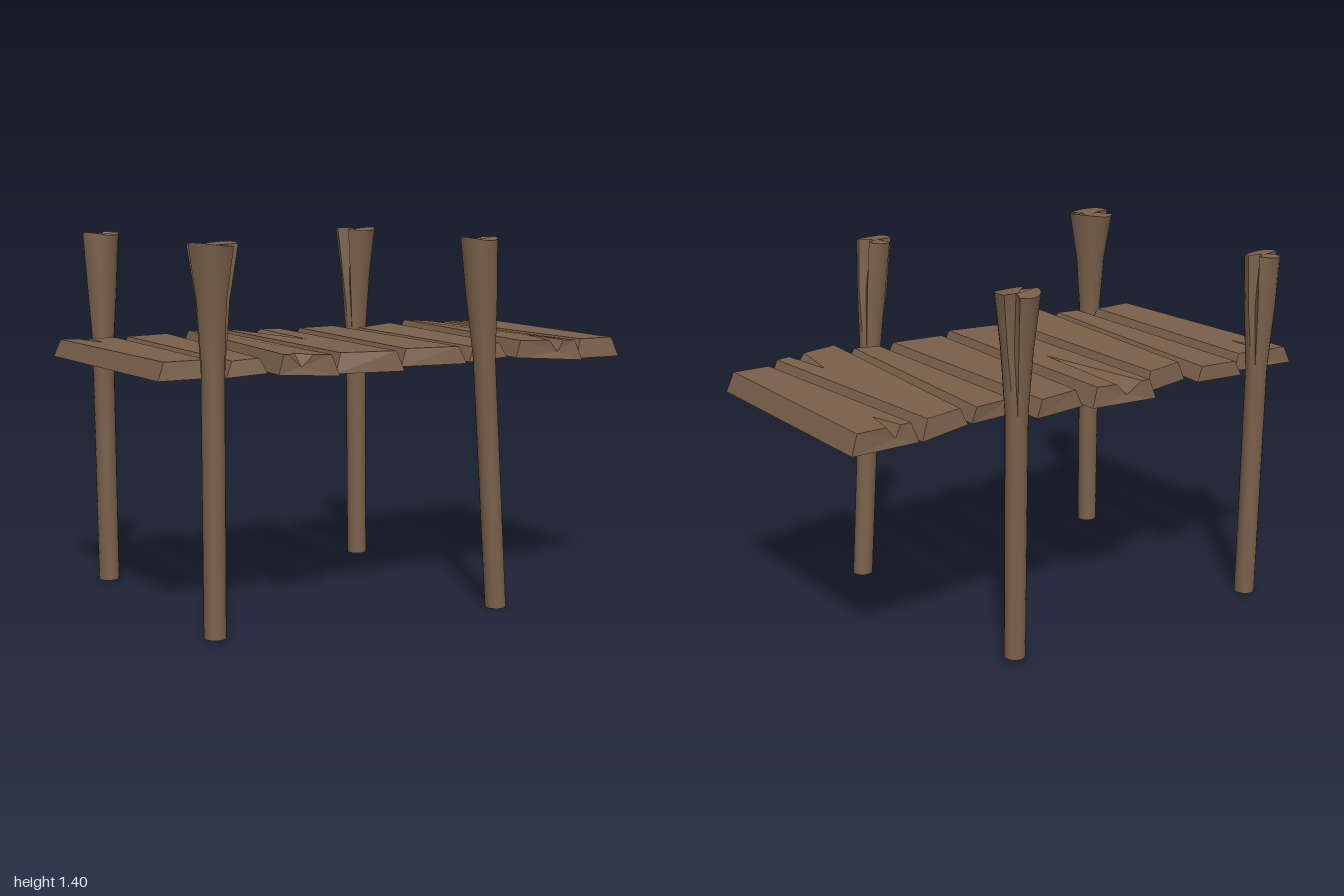
import * as THREE from 'three';
import { toCreasedNormals } from 'three/addons/utils/BufferGeometryUtils.js';

const wood = new THREE.MeshStandardMaterial({ color: 0x7a604a, side: THREE.DoubleSide });
wood.name = 'brown wood';

function meshFrom(points, name, crease) {
  let geo = new THREE.BufferGeometry().setFromPoints(points);
  if (crease) geo = toCreasedNormals(geo, crease);
  else geo.computeVertexNormals();
  const mesh = new THREE.Mesh(geo, wood);
  mesh.name = name;
  return mesh;
}

// Open-bottomed board with sloping sides and an optional split in one end.
// corners: [x, z] back left, front left, front right, back right
// heights: bottom left, bottom right, top left, top right
function plank({ corners, heights: [bl, br, tl, tr], crack }) {
  const bottom = corners.map(([x, z], i) => new THREE.Vector3(x, i < 2 ? bl : br, z));
  const top = corners.map(([x, z], i) => new THREE.Vector3(
    x + (i < 2 ? 0.027 : -0.027), i < 2 ? tl : tr, z + (i === 1 || i === 2 ? -0.012 : 0.008)));
  const tris = [];
  const outline = [];
  for (let i = 0; i < 4; i++) {
    const j = (i + 1) % 4;
    const [bi, bj, ti, tj] = [bottom[i], bottom[j], top[i], top[j]];
    outline.push(ti);
    if (crack && crack.edge === i) {
      const p0 = ti.clone().lerp(tj, crack.from);
      const p1 = ti.clone().lerp(tj, crack.to);
      const low = ti.clone().lerp(tj, crack.low);
      low.y -= 0.045;
      const tip = new THREE.Vector3(crack.tip[0], (ti.y + tj.y) / 2, crack.tip[1]);
      outline.push(p0, tip, p1);
      tris.push(low, p0, ti, low, ti, bi, low, bi, bj, low, bj, tj, low, tj, p1);
      tris.push(p0, low, tip, low, p1, tip);
    } else {
      tris.push(bi, bj, tj, bi, tj, ti);
    }
  }
  const flat = outline.map(p => new THREE.Vector2(p.x, -p.z));
  for (const face of THREE.ShapeUtils.triangulateShape(flat, [])) {
    for (const k of face) tris.push(outline[k]);
  }
  return meshFrom(tris, 'plank');
}

// Round post that flares at the top, with splits running down from the rim.
function post({ foot, head, base, rx, rz, cracks }) {
  const sides = 18;
  const levels = [[base, 0.04, 0], [0.95, 0.042, 0], [1.2, 0.06, 0.45], [1.395, 1, 1]];
  const rings = levels.map(([y, r, open], l) => {
    const t = (y - base) / (1.395 - base);
    const cx = THREE.MathUtils.lerp(foot[0], head[0], t);
    const cz = THREE.MathUtils.lerp(foot[1], head[1], t);
    return Array.from({ length: sides }, (_, i) => {
      const a = (i / sides) * Math.PI * 2;
      const split = cracks.includes(i) ? 1 - 0.75 * open : 1;
      const isTop = l === 3;
      const wobble = isTop ? 0.006 * Math.sin(a * 2 + foot[0] * 5) : 0;
      return new THREE.Vector3(
        cx + Math.cos(a) * (isTop ? rx : r) * split, y + wobble,
        cz + Math.sin(a) * (isTop ? rz : r) * split);
    });
  });
  const footCentre = new THREE.Vector3(foot[0], base, foot[1]);
  const headCentre = new THREE.Vector3(head[0], 1.39, head[1]);
  const tris = [];
  for (let i = 0; i < sides; i++) {
    const j = (i + 1) % sides;
    for (let l = 0; l < 3; l++) {
      const [a, b, c, d] = [rings[l][i], rings[l][j], rings[l + 1][j], rings[l + 1][i]];
      tris.push(a, c, b, a, d, c);
    }
    tris.push(footCentre, rings[0][i], rings[0][j]);
    tris.push(headCentre, rings[3][j], rings[3][i]);
  }
  return meshFrom(tris, 'post', 0.6);
}

const planks = [
  { corners: [[-1, -0.52], [-0.96, 0.425], [-0.74, 0.42], [-0.73, -0.49]], heights: [0.925, 0.925, 0.99, 0.99],
    crack: { edge: 3, from: 0.49, to: 0.7, low: 0.55, tip: [-0.87, -0.32] } },
  { corners: [[-0.71, -0.55], [-0.72, 0.465], [-0.56, 0.465], [-0.49, -0.545]], heights: [0.927, 0.935, 0.985, 0.99] },
  { corners: [[-0.475, -0.485], [-0.55, 0.53], [-0.295, 0.51], [-0.285, -0.485]], heights: [0.935, 0.915, 1.005, 0.993],
    crack: { edge: 1, from: 0.1, to: 0.62, low: 0.36, tip: [-0.445, 0.445] } },
  { corners: [[-0.27, -0.56], [-0.28, 0.45], [-0.015, 0.488], [0.005, -0.527]], heights: [0.915, 0.915, 0.99, 0.99],
    crack: { edge: 3, from: 0.36, to: 0.85, low: 0.56, tip: [-0.13, -0.065] } },
  { corners: [[0.035, -0.505], [0, 0.44], [0.27, 0.465], [0.26, -0.53]], heights: [0.925, 0.925, 0.99, 0.99] },
  { corners: [[0.28, -0.44], [0.28, 0.465], [0.45, 0.465], [0.51, -0.48]], heights: [0.93, 0.94, 0.985, 0.995] },
  { corners: [[0.53, -0.485], [0.455, 0.52], [0.775, 0.5], [0.72, -0.485]], heights: [0.942, 0.915, 1.005, 0.993],
    crack: { edge: 1, from: 0.53, to: 0.79, low: 0.68, tip: [0.67, 0.26] } },
  { corners: [[0.73, -0.48], [0.785, 0.45], [0.985, 0.455], [1, -0.48]], heights: [0.915, 0.915, 0.99, 0.99],
    crack: { edge: 3, from: 0.54, to: 0.8, low: 0.7, tip: [0.83, -0.34] } },
];

const posts = [
  { foot: [-0.778, 0.475], head: [-0.775, 0.475], base: 0.01, rx: 0.09, rz: 0.094, cracks: [2, 10] },
  { foot: [-0.778, -0.548], head: [-0.782, -0.563], base: 0.01, rx: 0.073, rz: 0.063, cracks: [10, 17] },
  { foot: [0.34, -0.503], head: [0.337, -0.513], base: 0.01, rx: 0.083, rz: 0.083, cracks: [8, 16] },
  { foot: [0.357, 0.545], head: [0.265, 0.545], base: 0, rx: 0.067, rz: 0.074, cracks: [11, 17] },
];

export function createModel() {
  const model = new THREE.Group();
  model.name = 'woodenDock';
  const deck = new THREE.Group();
  deck.name = 'deck';
  planks.forEach(p => deck.add(plank(p)));
  const supports = new THREE.Group();
  supports.name = 'posts';
  posts.forEach(p => supports.add(post(p)));
  model.add(deck, supports);
  return model;
}
